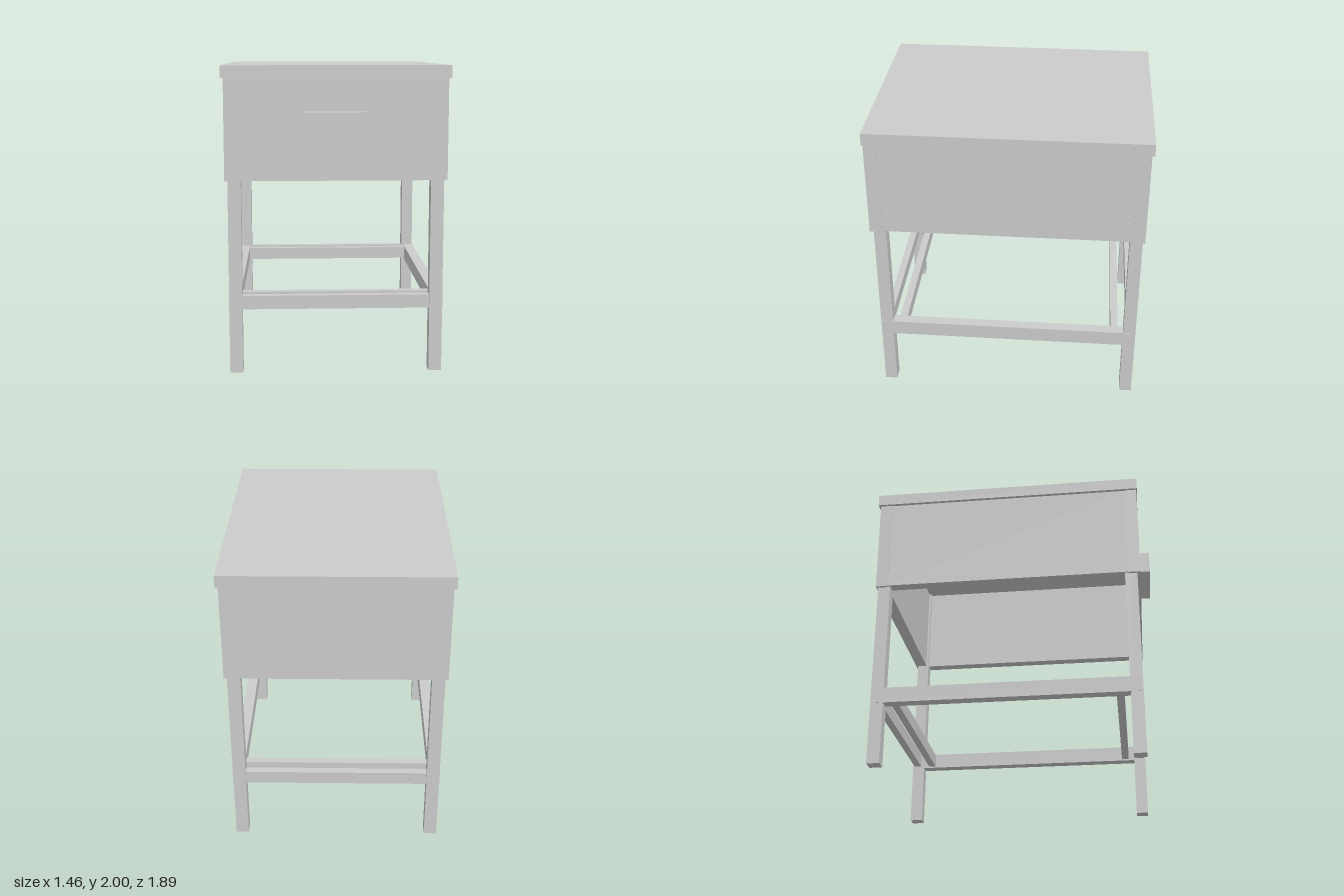
import * as THREE from 'three';

const material = new THREE.MeshStandardMaterial({ color: 0xcccccc, flatShading: true });

export function createModel() {
  const table = new THREE.Group();
  table.name = 'sideTable';

  // Adds a box given its extents on each axis
  const box = (name, [x0, x1], [y0, y1], [z0, z1]) => {
    const mesh = new THREE.Mesh(new THREE.BoxGeometry(x1 - x0, y1 - y0, z1 - z0), material);
    mesh.position.set((x0 + x1) / 2, (y0 + y1) / 2, (z0 + z1) / 2);
    mesh.name = name;
    table.add(mesh);
  };
  // Adds the same box on the left (+x) and right (-x)
  const pair = (name, [x0, x1], y, z) => {
    box(name + 'Left', [x0, x1], y, z);
    box(name + 'Right', [-x1, -x0], y, z);
  };

  // Overhanging top board
  box('tabletop', [-0.73, 0.73], [1.92, 2], [-0.945, 0.88]);

  // Hollow case, open underneath, with the sides set slightly in
  box('frontPanel', [-0.713, 0.713], [1.27, 1.92], [0.79, 0.875]);
  box('backPanel', [-0.713, 0.713], [1.27, 1.92], [-0.93, -0.85]);
  pair('sidePanel', [0.635, 0.708], [1.275, 1.92], [-0.85, 0.79]);

  // Drawer handle
  box('handle', [-0.205, 0.205], [1.555, 1.71], [0.875, 0.95]);

  // Legs run up inside the corners of the case
  pair('frontLeg', [0.61, 0.695], [0, 1.92], [0.77, 0.853]);
  pair('backLeg', [0.61, 0.695], [0, 1.92], [-0.917, -0.833]);

  // Long side stretchers
  pair('sideStretcher', [0.625, 0.698], [0.413, 0.517], [-0.905, 0.84]);

  // Doubled cross stretchers at the front and back
  const crossBars = { frontOuter: 0.815, frontInner: 0.705, backInner: -0.77, backOuter: -0.88 };
  for (const [place, z] of Object.entries(crossBars)) {
    box(place + 'Stretcher', [-0.64, 0.64], [0.423, 0.512], [z - 0.025, z + 0.025]);
  }

  return table;
}
